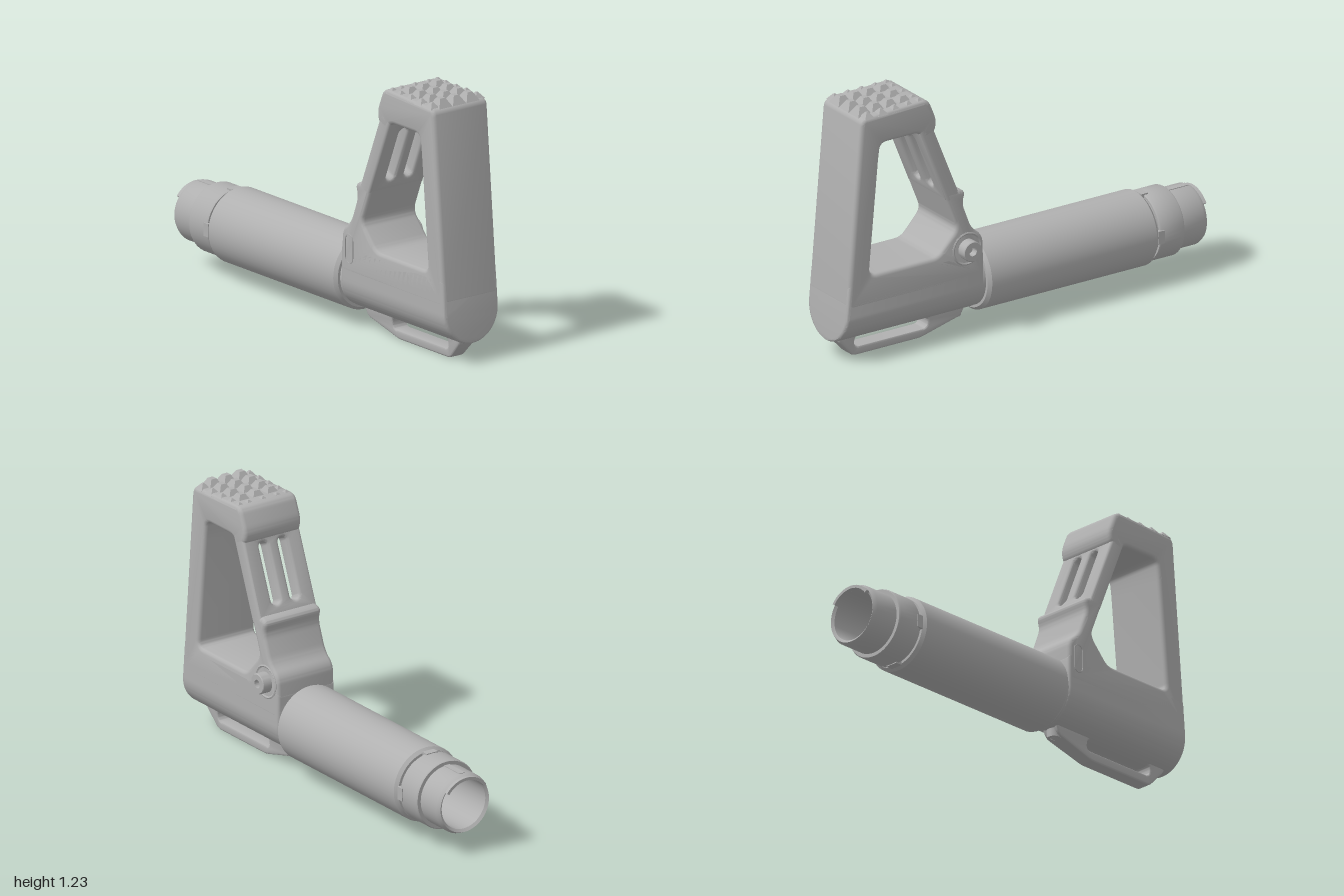
import * as THREE from 'three';
import { toCreasedNormals } from 'three/addons/utils/BufferGeometryUtils.js';

const gunGrey = new THREE.MeshStandardMaterial({ color: 0xb0b0b0 });
gunGrey.name = 'grey';

const HALF = 0.156;   // half width of the body
const AXIS = 0.245;   // height of the tube axis

function add(group, name, geo, crease = 0.55) {
  const mesh = new THREE.Mesh(toCreasedNormals(geo, crease), gunGrey);
  mesh.name = name;
  group.add(mesh);
  return mesh;
}

// closed outline through points, with rounded corners
function rounded(pts, r, Type = THREE.Shape) {
  const path = new Type();
  const v = pts.map(p => new THREE.Vector2(p[0], p[1]));
  v.forEach((p, i) => {
    const a = v[(i + v.length - 1) % v.length], b = v[(i + 1) % v.length];
    const from = p.clone().lerp(a, Math.min(0.45, r / p.distanceTo(a)));
    const to = p.clone().lerp(b, Math.min(0.45, r / p.distanceTo(b)));
    if (i === 0) path.moveTo(from.x, from.y); else path.lineTo(from.x, from.y);
    path.quadraticCurveTo(p.x, p.y, to.x, to.y);
  });
  path.closePath();
  return path;
}

// extrusion centred on its depth, bevel kept inside the outline
function slab(shape, depth, bevel, segments = 3) {
  const geo = new THREE.ExtrudeGeometry(shape, {
    depth: depth - 2 * bevel, bevelEnabled: bevel > 0, bevelSize: bevel, bevelThickness: bevel,
    bevelOffset: -bevel, bevelSegments: segments, curveSegments: 8,
  });
  return geo.translate(0, 0, bevel - depth / 2);
}

// side outline (z, y) extruded across x
const sideSlab = (shape, width, bevel) => slab(shape, width, bevel).rotateY(-Math.PI / 2);

const lathe = (pts, sides = 48) =>
  new THREE.LatheGeometry(pts.map(p => new THREE.Vector2(p[0], p[1])), sides);

function pill(cx, cy, rx, halfLength, Type = THREE.Shape) {
  const p = new Type();
  p.absarc(cx, cy + halfLength - rx, rx, 0, Math.PI);
  p.absarc(cx, cy - halfLength + rx, rx, Math.PI, Math.PI * 2);
  p.closePath();
  return p;
}

export function createModel() {
  const model = new THREE.Group();
  model.name = 'shoulderStock';
  const g = new THREE.Group();
  g.name = 'stock';
  g.position.x = -0.013;
  model.add(g);

  // C-shaped frame: butt, top cap, lower block and rear hump
  const frame = rounded([
    [0.984, 0.28], [0.906, 1.195], [0.54, 1.21], [0.494, 1.1], [0.505, 1.04], [0.57, 1.015],
    [0.59, 1.058], [0.80, 1.058], [0.81, 0.99], [0.862, 0.43], [0.49, 0.43], [0.385, 0.545],
    [0.4605, 0.735], [0.382, 0.735], [0.337, 0.715], [0.355, 0.66], [0.305, 0.53],
    [0.244, 0.48], [0.238, 0.28],
  ], 0.035);
  add(g, 'frame', sideSlab(frame, HALF * 2, 0.018));

  // rear strut with two long slots
  const strut = new THREE.Shape();
  strut.moveTo(-HALF, -0.2).lineTo(HALF, -0.2).lineTo(HALF, 0.2).lineTo(-HALF, 0.2).closePath();
  for (const s of [-1, 1]) strut.holes.push(pill(s * 0.052, 0, 0.024, 0.145, THREE.Path));
  add(g, 'slottedStrut', slab(strut, 0.073, 0.014).rotateX(0.384).translate(0, 0.8875, 0.483));

  // round-bottomed lower body with a leaning butt face
  const u = new THREE.Shape();
  u.moveTo(HALF, 0.4);
  u.lineTo(-HALF, 0.4);
  u.lineTo(-HALF, 0.25);
  u.absarc(0, 0.25, HALF, Math.PI, Math.PI * 2);
  u.closePath();
  const body = new THREE.ExtrudeGeometry(u, {
    depth: 0.73, bevelSize: 0.015, bevelThickness: 0.015, bevelOffset: -0.015, bevelSegments: 3, curveSegments: 28,
  }).translate(0, 0, 0.255);
  const pos = body.attributes.position;
  for (let i = 0; i < pos.count; i++) {
    if (pos.getZ(i) > 0.6) pos.setZ(i, pos.getZ(i) - 0.0856 * (pos.getY(i) - 0.09));
  }
  add(g, 'lowerBody', body);

  // grip studs on the cap: full rows, with smaller ones along the edges
  const studs = new THREE.Group();
  studs.name = 'gripStuds';
  g.add(studs);
  for (let row = 0; row < 5; row++) {
    for (let col = -2; col <= 2; col++) {
      const edge = Math.abs(col) === 2 || row === 0;
      const half = edge ? 0.027 : 0.038, h = edge ? 0.028 : 0.04;
      const geo = new THREE.CylinderGeometry((edge ? 0.004 : 0.014) * Math.SQRT2, half * Math.SQRT2, h, 4);
      geo.rotateY(Math.PI / 4);
      geo.translate(Math.sign(col) * (Math.abs(col) === 2 ? 0.128 : Math.abs(col) * 0.078),
        1.19 + h / 2, row === 0 ? 0.58 : 0.565 + row * 0.074);
      add(studs, 'stud', geo, 0.1);
    }
  }

  // sling loop below the body, tapering downward
  const loop = rounded([[0.96, 0.13], [0.955, 0.09], [0.875, 0.003], [0.505, 0.003],
    [0.29, 0.062], [0.26, 0.13]], 0.02);
  loop.holes.push(rounded([[0.868, 0.044], [0.868, 0.1], [0.47, 0.1], [0.47, 0.044]], 0.028, THREE.Path));
  const loopGeo = sideSlab(loop, 0.09, 0.008);
  const lp = loopGeo.attributes.position;
  for (let i = 0; i < lp.count; i++) lp.setX(i, lp.getX(i) * (0.8 + 2.2 * lp.getY(i)));
  add(g, 'slingLoop', loopGeo);

  // screw under the rear of the body
  add(g, 'bottomScrew', lathe([[0, 0.075], [0.017, 0.075], [0.017, 0.055], [0.032, 0.055], [0.034, 0.13]], 24)
    .translate(0, 0, 0.3));

  // cross bolt with a socket, and the ring around it
  add(g, 'crossBolt', lathe([[0.048, 0.1], [0.048, 0.2], [0.045, 0.204], [0.02, 0.204], [0.02, 0.17], [0, 0.17]], 32)
    .rotateZ(-Math.PI / 2).translate(0, 0.437, 0.335));
  add(g, 'boltSeat', lathe([[0.08, 0.09], [0.08, 0.157], [0.074, 0.16], [0.07, 0.157], [0.05, 0.15]], 32)
    .rotateZ(-Math.PI / 2).translate(0, 0.437, 0.335));

  // oval rim of the locking slot on the other side
  const rim = pill(0.3, 0.4, 0.03, 0.07);
  rim.holes.push(pill(0.3, 0.4, 0.023, 0.063, THREE.Path));
  add(g, 'slotRim', sideSlab(rim, 0.008, 0).translate(-HALF, 0, 0));

  // hollow stepped tube, turned around z
  add(g, 'tube', lathe([
    [0, -0.6], [0.12, -0.6], [0.12, -0.975], [0.133, -0.985], [0.143, -0.965], [0.143, -0.845],
    [0.16, -0.845], [0.164, -0.838], [0.164, -0.72], [0.16, -0.713], [0.15, -0.713], [0.15, -0.7],
    [0.163, -0.7], [0.177, -0.685], [0.177, 0.212], [0.163, 0.228], [0.15, 0.228], [0.15, 0.26],
  ]).rotateX(Math.PI / 2).translate(0, AXIS, 0));

  // raised lip over the top of the open end
  const lip = new THREE.Shape();
  lip.absarc(0, 0, 0.134, 0.64, Math.PI - 0.64);
  lip.absarc(0, 0, 0.12, Math.PI - 0.64, 0.64, true);
  lip.closePath();
  add(g, 'endLip', slab(lip, 0.04, 0).translate(0, AXIS, -0.98));

  // locking keys between tube and collar
  for (let i = 0; i < 4; i++) {
    add(g, 'collarKey', new THREE.BoxGeometry(0.062, 0.02, 0.035)
      .translate(0, 0.157, -0.717).rotateZ(i * Math.PI / 2).translate(0, AXIS, 0));
  }
  // narrow rib on top of the end section
  add(g, 'endRib', new THREE.BoxGeometry(0.03, 0.01, 0.12).translate(0, AXIS + 0.14, -0.905));

  return model;
}
